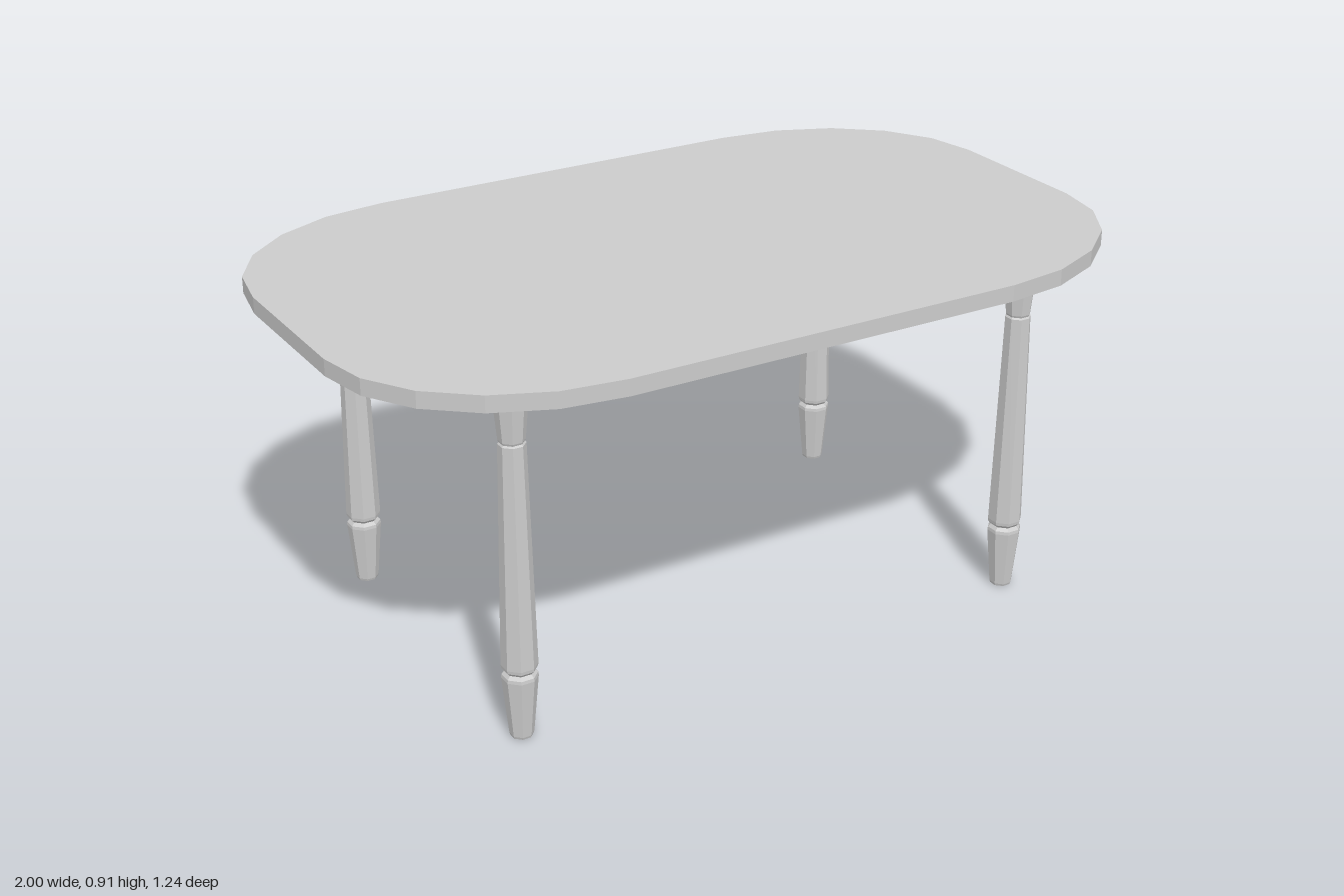
import * as THREE from 'three';

const material = new THREE.MeshStandardMaterial({ color: 0xcccccc, flatShading: true });

// Outline of the top: straight sides joined by five-step elliptical corners
function topShape(halfX, halfZ, rx, rz, steps) {
  const points = [];
  for (let q = 0; q < 4; q++) {
    for (let i = 0; i <= steps; i++) {
      const a = (q + i / steps) * Math.PI / 2;
      const sx = q === 0 || q === 3 ? 1 : -1;
      const sz = q < 2 ? 1 : -1;
      points.push(new THREE.Vector2(
        sx * (halfX - rx) + rx * Math.cos(a),
        sz * (halfZ - rz) + rz * Math.sin(a)
      ));
    }
  }
  return new THREE.Shape(points);
}

export function createModel() {
  const group = new THREE.Group();
  group.name = 'table';

  // Table top
  const bottom = 0.869, thickness = 0.04;
  const topGeometry = new THREE.ExtrudeGeometry(topShape(1, 0.62, 0.5, 0.42, 5), {
    depth: thickness, bevelEnabled: false
  });
  topGeometry.rotateX(-Math.PI / 2);
  const top = new THREE.Mesh(topGeometry, material);
  top.name = 'tableTop';
  top.position.y = bottom;
  group.add(top);

  // Turned eight-sided leg; profile is [distance to flat side, height]
  const profile = [
    [0, 0], [0.024, 0], [0.026, 0.006], [0.039, 0.152], [0.038, 0.16],
    [0.031, 0.168], [0.038, 0.176], [0.039, 0.184],
    [0.029, 0.727], [0.026, 0.731], [0.028, 0.736], [0.039, bottom]
  ].map(([r, y]) => new THREE.Vector2(r / Math.cos(Math.PI / 8), y));
  const legGeometry = new THREE.LatheGeometry(profile, 8, Math.PI / 8);

  for (const [sx, xName] of [[1, 'Left'], [-1, 'Right']]) {
    for (const [sz, zName] of [[1, 'front'], [-1, 'back']]) {
      const leg = new THREE.Mesh(legGeometry, material);
      leg.name = zName + xName + 'Leg';
      leg.position.set(sx * 0.68, 0, sz * 0.425);
      group.add(leg);
    }
  }
  return group;
}
